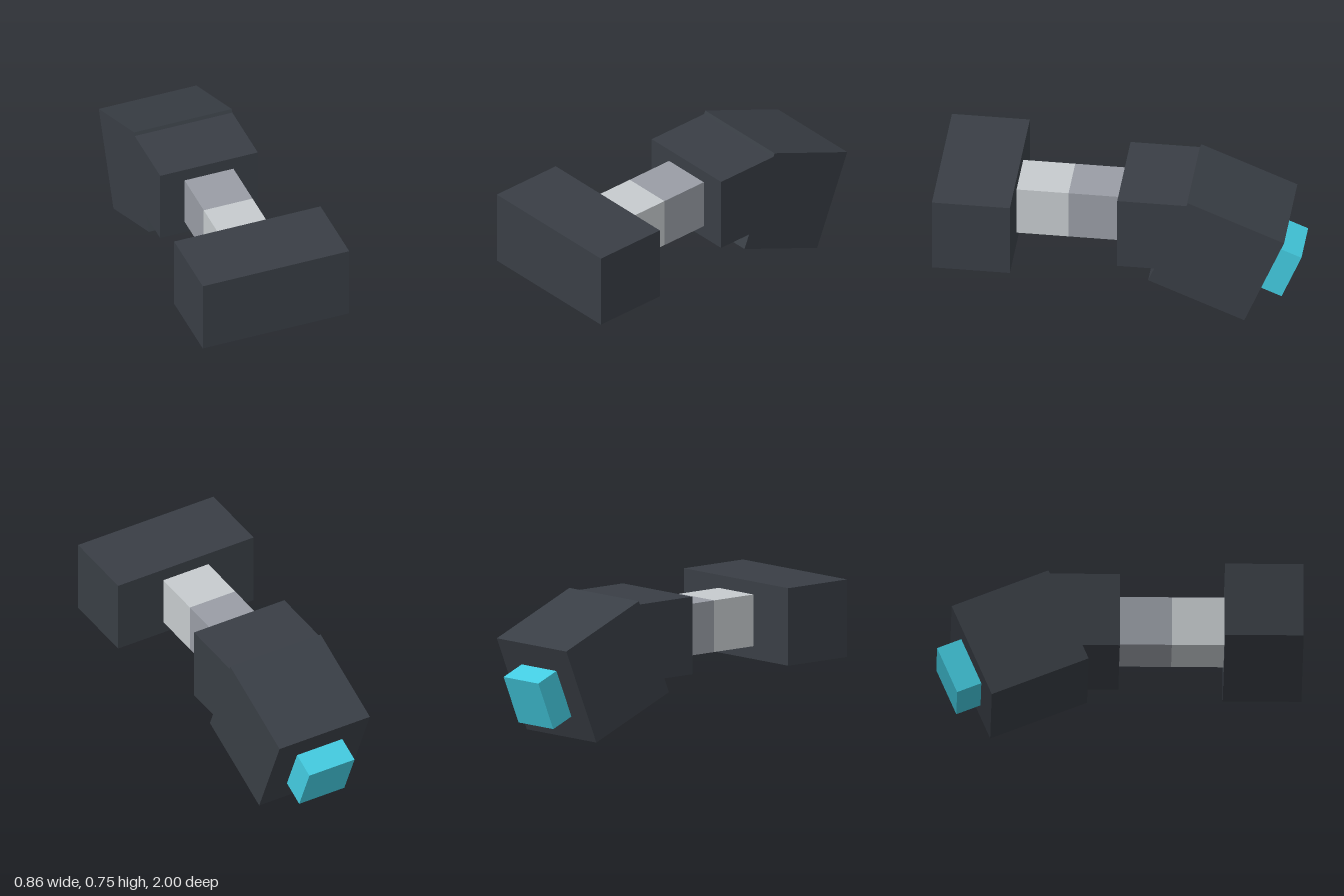
import * as THREE from 'three';

const U = 0.1432; // base module size

export function createModel() {
  const model = new THREE.Group();
  model.name = 'model';

  const paint = (name, color) => {
    const m = new THREE.MeshStandardMaterial({ color });
    m.name = name;
    return m;
  };
  const charcoal = paint('charcoal', 0x393e45);
  const lightGrey = paint('light grey', 0xc6cbce);
  const midGrey = paint('mid grey', 0x999da5);
  const cyan = paint('cyan', 0x43cbe0);

  // Box sized in modules, placed in units
  const box = (parent, name, material, w, h, d, y, z) => {
    const mesh = new THREE.Mesh(new THREE.BoxGeometry(w * U, h * U, d * U), material);
    mesh.name = name;
    mesh.position.set(0, y, z);
    parent.add(mesh);
  };

  // Straight section: wide front block, two-tone neck, rear block
  const axisY = 0.514;
  box(model, 'frontBlock', charcoal, 6, 3, 3, axisY, 1 - 1.5 * U);
  box(model, 'neckFront', lightGrey, 2, 2, 2, axisY, 1 - 4 * U);
  box(model, 'neckRear', midGrey, 2, 2, 2, axisY, 1 - 6 * U);
  box(model, 'rearBlock', charcoal, 4, 3, 3, axisY, 1 - 8.5 * U);

  // Tilted end with its bright nozzle
  const tail = new THREE.Group();
  tail.name = 'tiltedEnd';
  tail.position.set(0, 0.374, -0.547);
  tail.rotation.x = -Math.PI / 8;
  box(tail, 'tiltedBlock', charcoal, 4, 4, 4, 0, 0);
  box(tail, 'nozzle', cyan, 2, 2, 1, 0, -2.5 * U);
  model.add(tail);

  return model;
}
